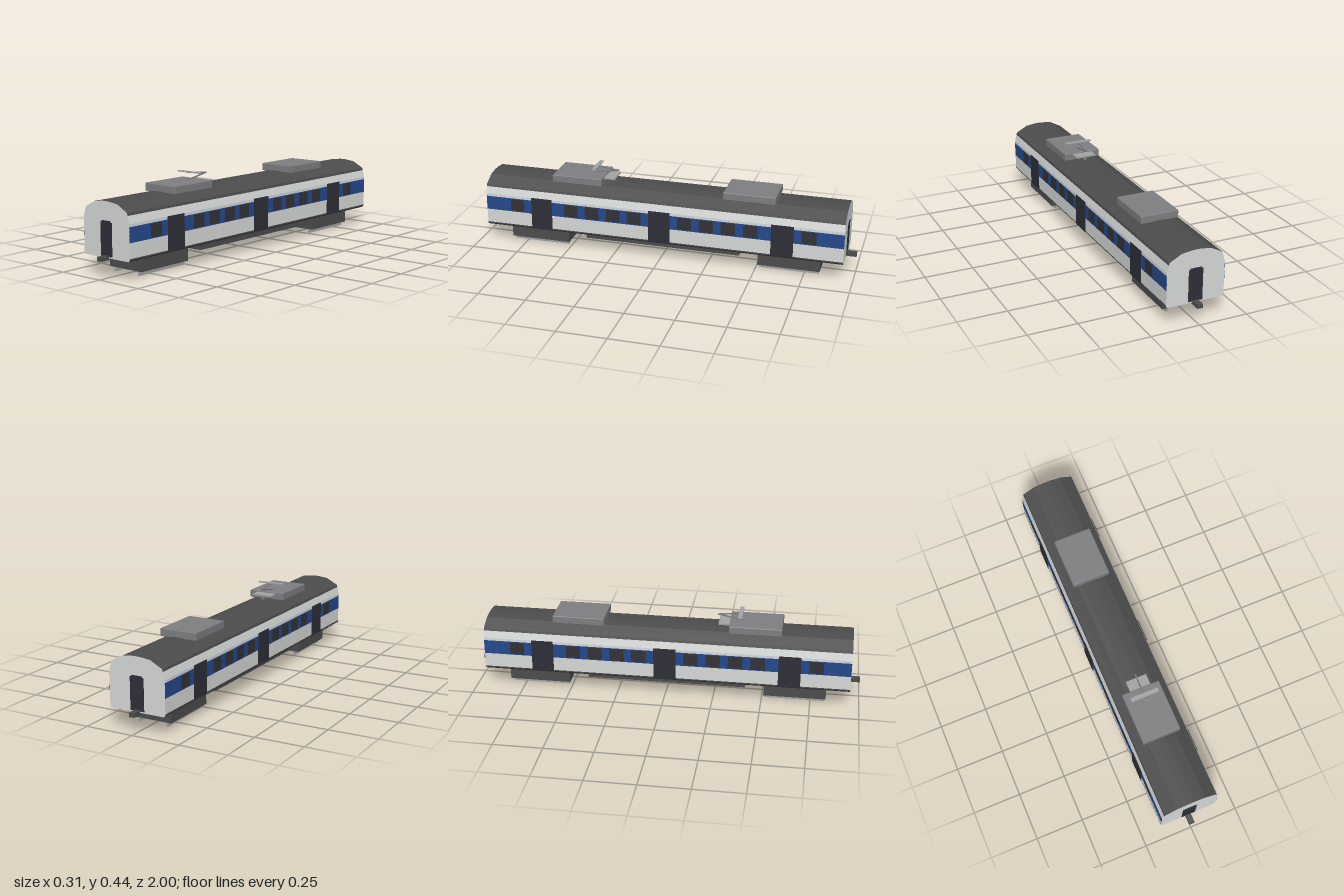
import * as THREE from 'three';
import { RoundedBoxGeometry } from 'three/addons/geometries/RoundedBoxGeometry.js';

const mat = (name, color) => Object.assign(new THREE.MeshStandardMaterial({ color }), { name });

export function createModel() {
  const white = mat('bodyWhite', 0xd6d8d8);
  const dark = mat('roofGrey', 0x4c4c4c);
  const blue = mat('stripeBlue', 0x24488c);
  const glass = mat('windowDark', 0x323236);
  const doorMat = mat('doorDark', 0x2e2e38);
  const unitGrey = mat('unitGrey', 0x7e7e80);
  const metal = mat('metalGrey', 0xa2a2a2);

  const train = new THREE.Group();
  train.name = 'railcar';

  const add = (name, geometry, material, parent = train) => {
    const mesh = new THREE.Mesh(geometry, material);
    mesh.name = name;
    parent.add(mesh);
    return mesh;
  };
  // Box given by its limits on each axis
  const box = (name, [x0, x1], [y0, y1], [z0, z1], material, parent) => {
    const mesh = add(name, new THREE.BoxGeometry(x1 - x0, y1 - y0, z1 - z0), material, parent);
    mesh.position.set((x0 + x1) / 2, (y0 + y1) / 2, (z0 + z1) / 2);
    return mesh;
  };

  // Body shell: symmetric cross-sections run along z, with white ends
  const HALF = 0.95;
  const shell = (name, half, sideMaterial) => {
    const pts = [...half, ...half.map(([x, y]) => [-x, y]).reverse()];
    const shape = new THREE.Shape(pts.map(([x, y]) => new THREE.Vector2(x, y)));
    const geometry = new THREE.ExtrudeGeometry(shape, { depth: 2 * HALF, bevelEnabled: false });
    geometry.translate(0, 0, -HALF);
    add(name, geometry, [white, sideMaterial]);
  };
  shell('floorPan', [[0.142, 0.096], [0.15, 0.105], [0.15, 0.111]], dark);
  shell('walls', [[0.15, 0.111], [0.15, 0.273], [0.1404, 0.31]], white);
  shell('roof', [[0.1404, 0.31], [0.137, 0.323], [0.075, 0.356], [0.02, 0.363]], dark);

  // Painted side details, the same on both sides
  const doors = [-0.64, 0, 0.64];
  const windows = [0.135, 0.248, 0.363, 0.478, 0.775];
  for (const side of [-1, 1]) {
    const group = new THREE.Group();
    group.name = side > 0 ? 'leftSide' : 'rightSide';
    train.add(group);
    const plate = (name, y, z, proud, material) =>
      box(name, side > 0 ? [0.149, 0.15 + proud] : [-0.15 - proud, -0.149], y, z, material, group);
    plate('stripe', [0.185, 0.259], [-HALF, HALF], 0.001, blue);
    for (const z of doors) plate('sideDoor', [0.106, 0.274], [z - 0.057, z + 0.057], 0.003, doorMat);
    for (const c of windows)
      for (const z of [-c, c]) plate('window', [0.19, 0.255], [z - 0.037, z + 0.037], 0.002, glass);
  }

  // End doors, couplers, bogies and roof units at both ends
  for (const end of [-1, 1]) {
    const span = (a, b) => (end > 0 ? [a, b] : [-b, -a]);
    box('endDoor', [-0.037, 0.037], [0.103, 0.265], span(0.949, 0.952), doorMat);
    box('endDoorTop', [-0.03, 0.03], [0.265, 0.272], span(0.949, 0.952), doorMat);
    box('coupler', [-0.014, 0.014], [0.087, 0.108], span(0.93, 1), dark);
    box('bogie', [-0.105, 0.105], [0.022, 0.086], span(0.51, 0.83), dark);
    box('bogieMount', [-0.1, 0.1], [0.086, 0.097], span(0.53, 0.81), dark);
    for (const x of [-0.077, 0.077])
      box('runner', [x - 0.0045, x + 0.0045], [0, 0.03], span(0.517, 0.823), metal);

    const unit = add('roofUnit', new RoundedBoxGeometry(0.2, 0.04, 0.27, 1, 0.004), unitGrey);
    unit.position.set(0, 0.377, end * 0.457);
  }

  // Equipment box under the floor
  box('underfloorBox', [-0.1, 0.1], [0.058, 0.097], [-0.412, 0.412], dark);

  // Current collector on the roof
  const collector = new THREE.Group();
  collector.name = 'currentCollector';
  train.add(collector);
  box('collectorBase', [-0.055, 0.055], [0.384, 0.391], [0.265, 0.325], metal, collector);
  box('collectorPost', [-0.008, 0.008], [0.36, 0.385], [0.277, 0.292], unitGrey, collector);
  box('collectorBar', [-0.073, 0.073], [0.432, 0.437], [0.365, 0.387], metal, collector);
  const arm = (name, [y0, z0], [y1, z1]) => {
    const mesh = add(name, new THREE.BoxGeometry(0.006, 0.006, Math.hypot(y1 - y0, z1 - z0)), unitGrey, collector);
    mesh.position.set(0, (y0 + y1) / 2, (z0 + z1) / 2);
    mesh.rotation.x = -Math.atan2(y1 - y0, z1 - z0);
  };
  arm('lowerArm', [0.42, 0.256], [0.395, 0.4]);
  arm('upperArm', [0.419, 0.256], [0.434, 0.39]);

  return train;
}
